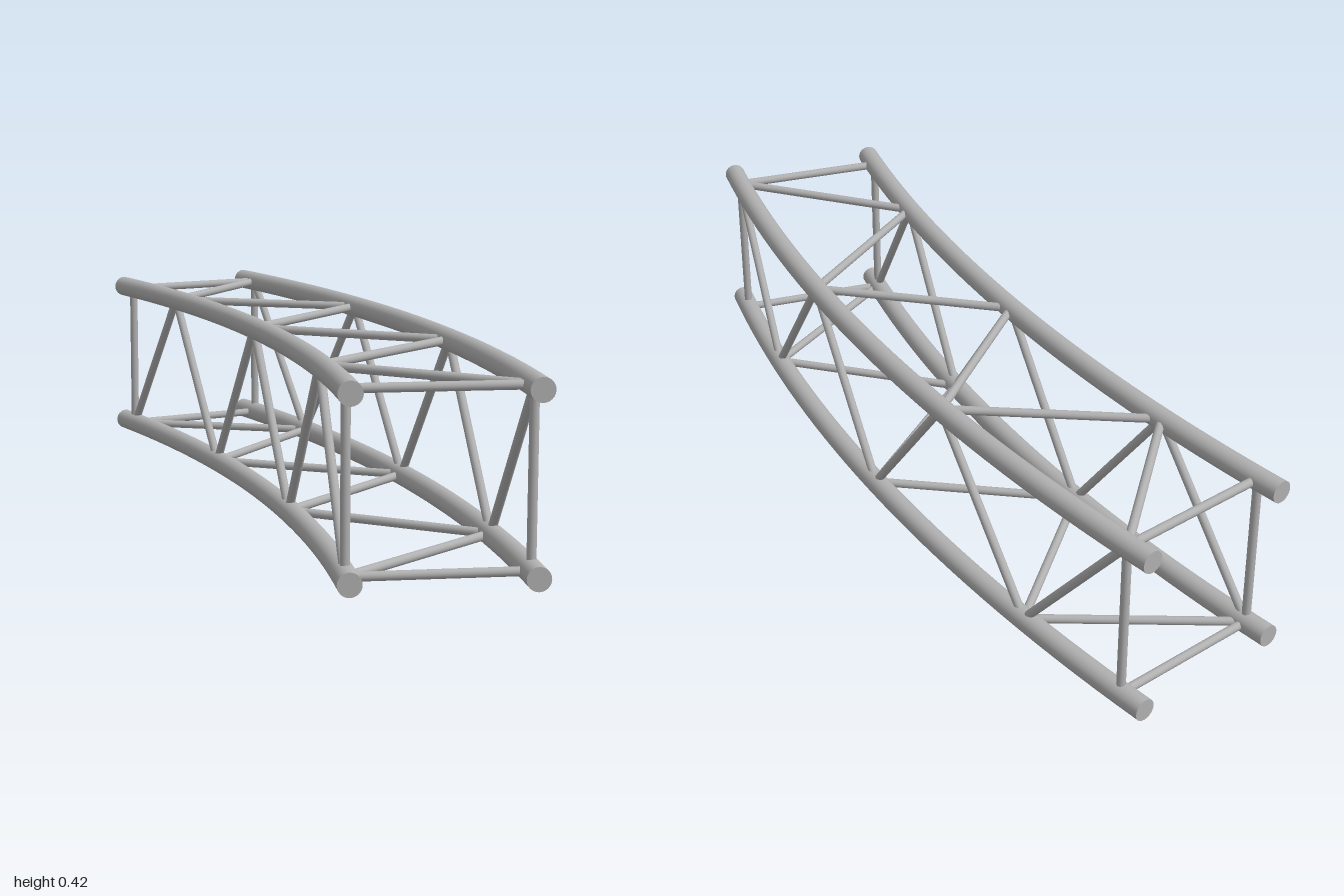
import * as THREE from 'three';
import { mergeGeometries } from 'three/addons/utils/BufferGeometryUtils.js';

export function createModel() {
  const steel = new THREE.MeshStandardMaterial({ color: 0xb0b0b0 });
  steel.name = 'steel';

  const RAD = Math.PI / 180;
  const ARC = 22.5 * RAD;             // sweep of the curved truss
  const CENTER_X = -4.832;            // arc centre, at z = 1
  const INNER = 4.829, OUTER = 5.201; // chord radii
  const CHORD = 0.0253, BRACE = 0.01; // tube radii
  const LOW = CHORD, HIGH = 0.3985;   // chord heights
  const BAYS = 6, FIRST = 0.75 * RAD, LAST = 21.71 * RAD;

  const truss = new THREE.Group();
  truss.name = 'curvedTruss';

  const pointAt = (radius, y, a) =>
    new THREE.Vector3(CENTER_X + radius * Math.cos(a), y, 1 - radius * Math.sin(a));
  const node = (radius, y, i) =>
    pointAt(radius, y, FIRST + (LAST - FIRST) * i / BAYS);

  // Main chord: a slice of a torus, capped at both ends
  function addChord(name, radius, y) {
    const tube = new THREE.TorusGeometry(radius, CHORD, 24, 32, ARC);
    tube.rotateX(-Math.PI / 2).translate(CENTER_X, y, 1);
    const caps = [0, ARC].map((a) => {
      const p = pointAt(radius, y, a);
      return new THREE.CircleGeometry(CHORD, 24)
        .rotateY(a ? Math.PI + a : 0)
        .translate(p.x, p.y, p.z);
    });
    const mesh = new THREE.Mesh(mergeGeometries([tube, ...caps]), steel);
    mesh.name = name;
    truss.add(mesh);
  }

  // Straight thin tube between two points
  function addBrace(name, from, to) {
    const dir = to.clone().sub(from);
    const geo = new THREE.CylinderGeometry(BRACE, BRACE, dir.length(), 16, 1, true);
    const mesh = new THREE.Mesh(geo, steel);
    mesh.name = name;
    mesh.position.copy(from).add(to).multiplyScalar(0.5);
    mesh.quaternion.setFromUnitVectors(new THREE.Vector3(0, 1, 0), dir.normalize());
    truss.add(mesh);
  }

  addChord('innerBottomChord', INNER, LOW);
  addChord('innerTopChord', INNER, HIGH);
  addChord('outerBottomChord', OUTER, LOW);
  addChord('outerTopChord', OUTER, HIGH);

  // Square frame near each end
  for (const i of [0, BAYS]) {
    addBrace('innerPost', node(INNER, LOW, i), node(INNER, HIGH, i));
    addBrace('outerPost', node(OUTER, LOW, i), node(OUTER, HIGH, i));
    addBrace('bottomCrossbar', node(INNER, LOW, i), node(OUTER, LOW, i));
    addBrace('topCrossbar', node(INNER, HIGH, i), node(OUTER, HIGH, i));
  }

  // Zigzag lacing on all four sides, meeting at alternating nodes
  const innerNode = (i) => node(INNER, i % 2 ? HIGH : LOW, i);
  const outerNode = (i) => node(OUTER, i % 2 ? LOW : HIGH, i);
  const topNode = (i) => node(i % 2 ? INNER : OUTER, HIGH, i);
  const bottomNode = (i) => node(i % 2 ? OUTER : INNER, LOW, i);
  for (let i = 0; i < BAYS; i++) {
    addBrace('innerDiagonal', innerNode(i), innerNode(i + 1));
    addBrace('outerDiagonal', outerNode(i), outerNode(i + 1));
    addBrace('topDiagonal', topNode(i), topNode(i + 1));
    addBrace('bottomDiagonal', bottomNode(i), bottomNode(i + 1));
  }

  return truss;
}
